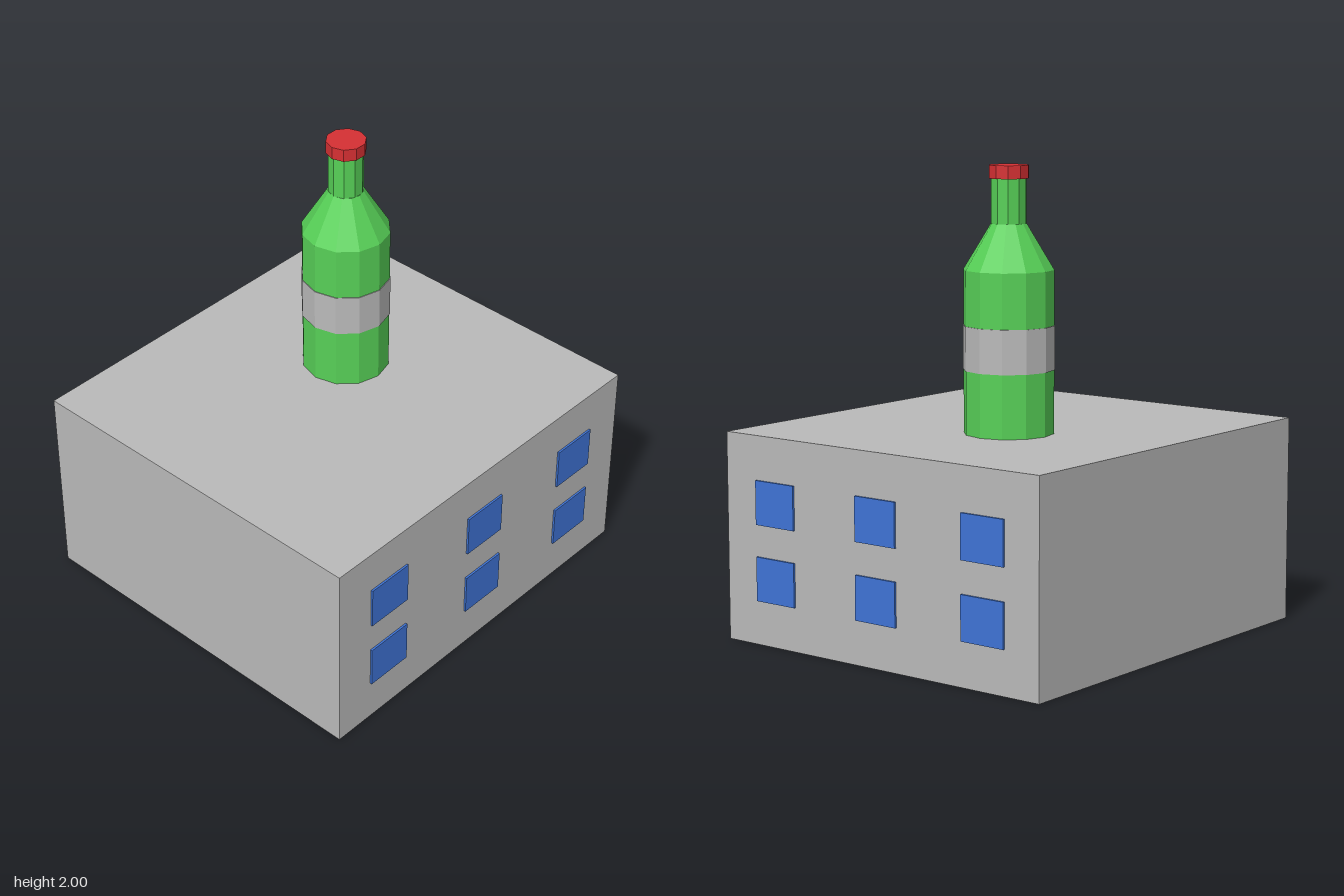
import * as THREE from 'three';

export function createModel() {
  const model = new THREE.Group();
  const mat = (name, color) => {
    const m = new THREE.MeshStandardMaterial({ color, flatShading: true });
    m.name = name;
    return m;
  };
  const grey = mat('grey', 0xbababa);
  const blue = mat('windowBlue', 0x3f74d6);
  const green = mat('bottleGreen', 0x57d057);
  const red = mat('capRed', 0xd63033);

  const add = (parent, name, geometry, material, x, y, z) => {
    const mesh = new THREE.Mesh(geometry, material);
    mesh.name = name;
    mesh.position.set(x, y, z);
    parent.add(mesh);
    return mesh;
  };

  // Building block
  const left = 0.82, back = -0.88;
  add(model, 'building', new THREE.BoxGeometry(1.65, 0.888, 1.768), grey, -0.005, 0.444, 0.004);

  // Two rows of three windows on the left side and on the back
  const windows = new THREE.Group();
  windows.name = 'windows';
  const t = 0.009;
  const sidePane = new THREE.BoxGeometry(t, 0.188, 0.215);
  const backPane = new THREE.BoxGeometry(0.212, 0.188, t);
  for (const y of [0.282, 0.606]) {
    for (const i of [-1, 0, 1]) {
      add(windows, 'sideWindow', sidePane, blue, left + t / 2, y, 0.004 + i * 0.591);
      add(windows, 'backWindow', backPane, blue, -0.005 + i * 0.55, y, back - t / 2);
    }
  }
  model.add(windows);

  // Bottle standing on the roof
  const bottle = new THREE.Group();
  bottle.name = 'bottle';
  bottle.position.set(-0.125, 0, -0.175);
  const ring = (name, rTop, rBottom, y0, y1, sides, material, open = false) =>
    add(bottle, name, new THREE.CylinderGeometry(rTop, rBottom, y1 - y0, sides, 1, open),
      material, 0, (y0 + y1) / 2, 0);
  ring('bottleBody', 0.19, 0.19, 0.888, 1.57, 12, green);
  ring('bottleLabel', 0.193, 0.193, 1.155, 1.34, 12, grey);
  ring('bottleShoulder', 0.075, 0.19, 1.57, 1.76, 12, green);
  ring('bottleNeck', 0.075, 0.075, 1.76, 1.95, 10, green);
  ring('bottleCap', 0.085, 0.085, 1.945, 2, 10, red);
  model.add(bottle);

  return model;
}
